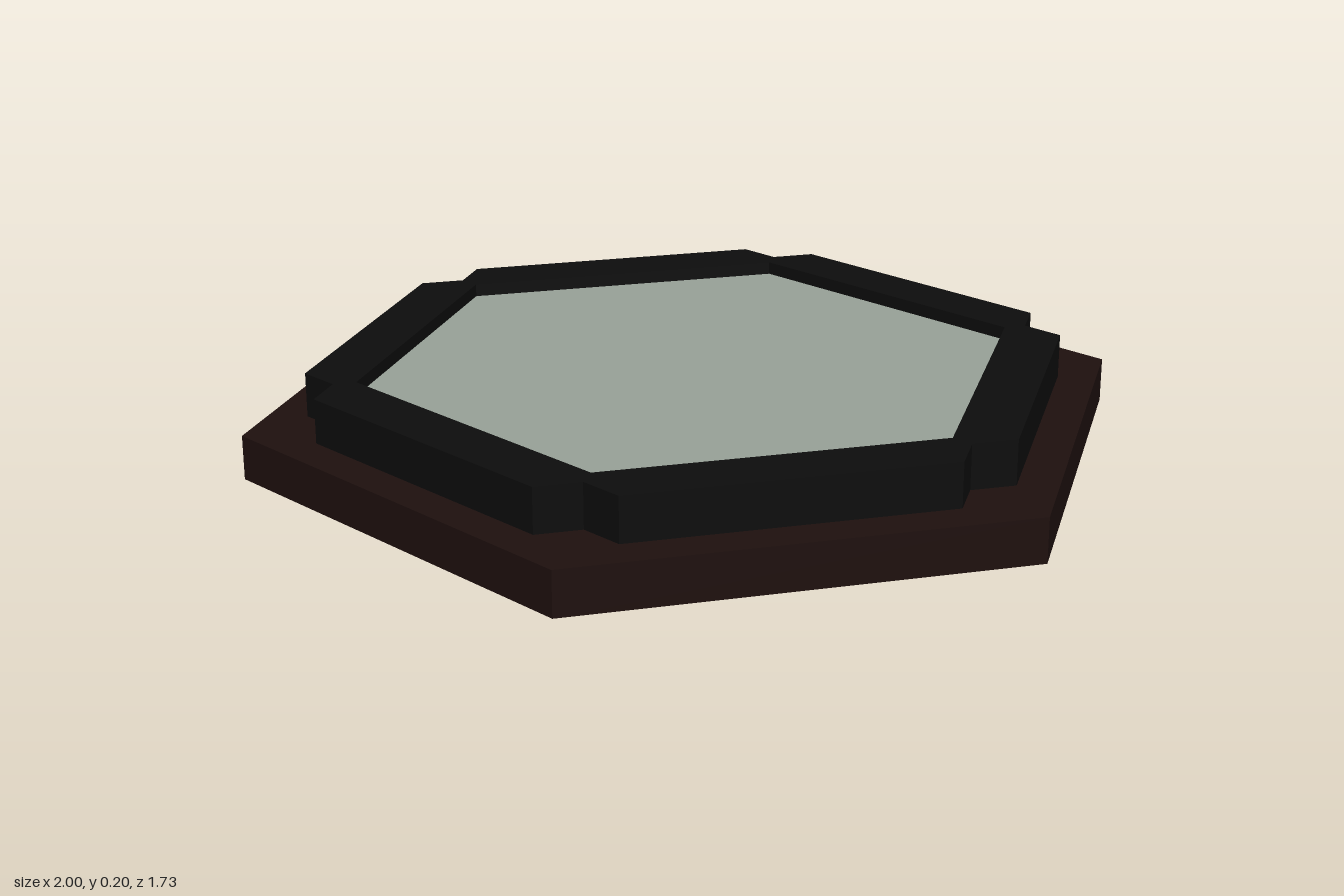
import * as THREE from 'three';

const material = (color) => new THREE.MeshStandardMaterial({ color, flatShading: true });

// Point at radius r and angle a in the plan
const polar = (r, a) => new THREE.Vector2(r * Math.cos(a), r * Math.sin(a));

// Six-sided slab with corners on the x axis
function hexSlab(name, radius, bottom, top, color) {
  const geometry = new THREE.CylinderGeometry(radius, radius, top - bottom, 6);
  geometry.rotateY(Math.PI / 6);
  const mesh = new THREE.Mesh(geometry, material(color));
  mesh.name = name;
  mesh.position.y = (bottom + top) / 2;
  return mesh;
}

// Raised rim: six bars with notched corners around a hexagonal opening
function notchedRim() {
  const outline = [];
  const opening = [];
  const center = new THREE.Vector2();
  for (let i = 0; i < 6; i++) {
    const corner = (i * Math.PI) / 3;
    const side = corner + Math.PI / 6 - Math.PI / 2;
    outline.push(polar(0.8, corner));
    outline.push(new THREE.Vector2(0.35, 0.78).rotateAround(center, side));
    outline.push(new THREE.Vector2(-0.35, 0.78).rotateAround(center, side));
    opening.push(polar(0.75, corner));
  }
  const shape = new THREE.Shape(outline);
  shape.holes.push(new THREE.Path(opening));
  const geometry = new THREE.ExtrudeGeometry(shape, { depth: 0.1, bevelEnabled: false });
  geometry.rotateX(-Math.PI / 2);
  const mesh = new THREE.Mesh(geometry, material(0x0d0d0d));
  mesh.name = 'rim';
  mesh.position.y = 0.1;
  return mesh;
}

export function createModel() {
  const model = new THREE.Group();
  model.name = 'hexagonalTile';
  model.add(hexSlab('base', 1, 0, 0.1, 0x1e100e));
  model.add(notchedRim());
  // Pale panel sunk slightly below the rim
  model.add(hexSlab('panel', 0.75, 0.1, 0.17, 0x98a298));
  return model;
}
